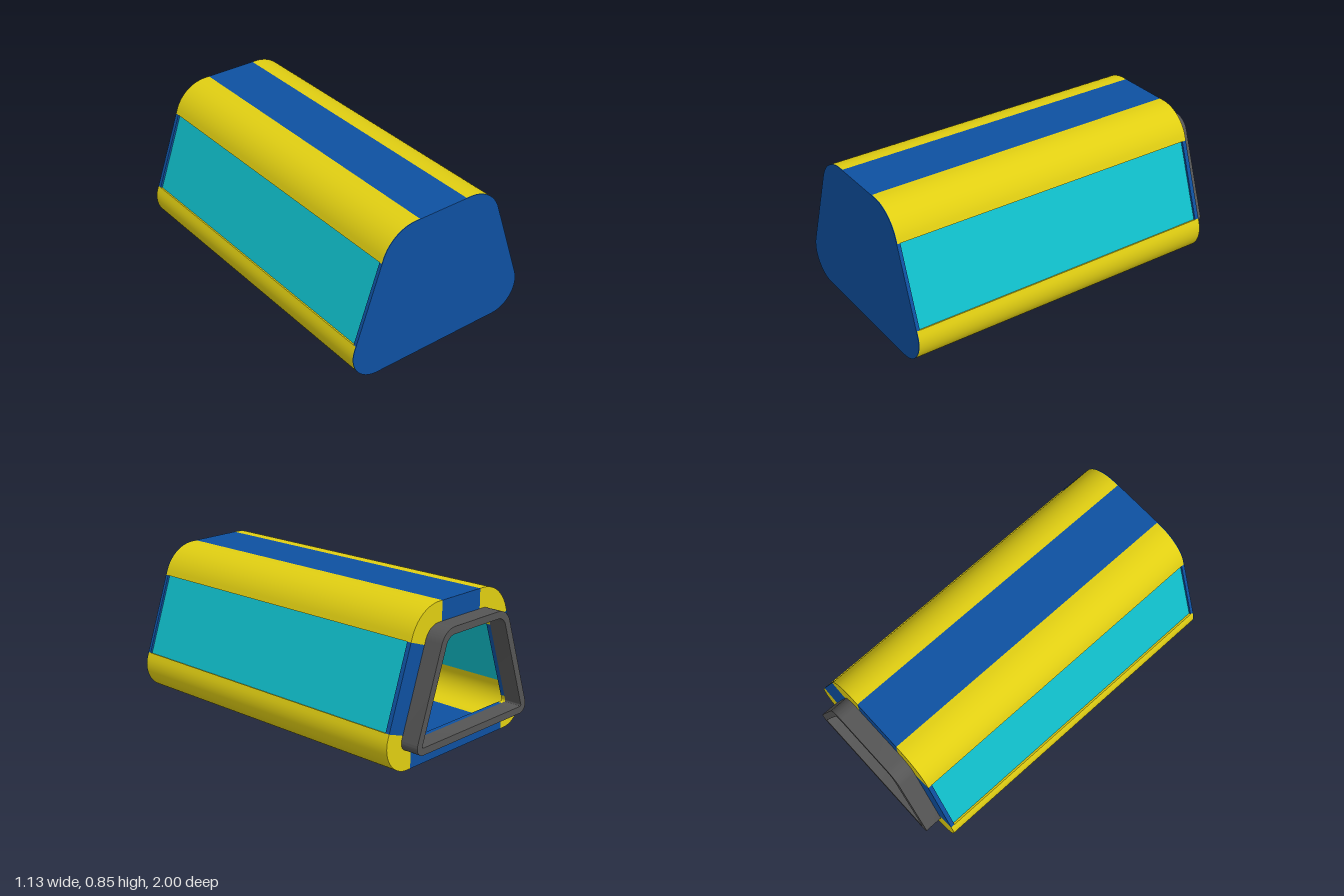
import * as THREE from 'three';
import { toCreasedNormals } from 'three/addons/utils/BufferGeometryUtils.js';

const mat = (name, color) => {
  const m = new THREE.MeshStandardMaterial({ color });
  m.name = name;
  return m;
};

export function createModel() {
  const root = new THREE.Group();
  root.name = 'roundedTrapezoidHousing';
  const blue = mat('blue', 0x0e50a0);
  const yellow = mat('yellow', 0xe0ce12);
  const cyan = mat('cyan', 0x10c0cc);
  const grey = mat('dark grey', 0x555555);

  // Cross-section: two rounded corners on the +x side, mirrored to -x
  const slope = Math.atan2(0.331, 0.944);
  const low = { x: 0.407, y: 0.158, r: 0.158, a0: -Math.PI / 2, a1: slope };
  const high = { x: 0.18, y: 0.628, r: 0.217, a0: slope, a1: Math.PI / 2 };
  const FRONT = 1, BACK = -0.895, WALL = 0.04, HOLE = 0.15, LAP = 0.025, CAP = 0.004;

  const arc = (c, off, n = 20) => Array.from({ length: n + 1 }, (_, i) => {
    const a = c.a0 + (c.a1 - c.a0) * i / n, r = c.r - off;
    return new THREE.Vector2(c.x + r * Math.cos(a), c.y + r * Math.sin(a));
  });
  const flip = (pts) => pts.map((p) => new THREE.Vector2(-p.x, p.y)).reverse();

  // Closed outline of the section, inset by off
  const outline = (off) => {
    const half = [...arc(low, off), ...arc(high, off)];
    return [...half, ...flip(half)];
  };

  // Corner band between two insets, with short straight laps past the arc
  const cornerBand = (c, a, b) => {
    const side = (off) => {
      const pts = arc(c, off);
      const move = (p, ang, d) =>
        new THREE.Vector2(p.x - Math.sin(ang) * d, p.y + Math.cos(ang) * d);
      return [move(pts[0], c.a0, -LAP), ...pts, move(pts[pts.length - 1], c.a1, LAP)];
    };
    return [...side(a), ...side(b).reverse()];
  };

  // Straight band on the sloping side between the two corner bands
  const slopeBand = (a, b) => {
    const at = (c, off, d) => new THREE.Vector2(
      c.x + (c.r - off) * Math.cos(slope) - Math.sin(slope) * d,
      c.y + (c.r - off) * Math.sin(slope) + Math.cos(slope) * d);
    return [at(low, a, LAP), at(high, a, -LAP), at(high, b, -LAP), at(low, b, LAP)];
  };

  const flatBand = (w, y0, y1) =>
    [[-w, y0], [w, y0], [w, y1], [-w, y1]].map(([x, y]) => new THREE.Vector2(x, y));

  const add = (name, pts, z0, z1, material, hole) => {
    const shape = new THREE.Shape(pts);
    if (hole) shape.holes.push(new THREE.Path(hole));
    const geo = new THREE.ExtrudeGeometry(shape, { depth: z1 - z0, bevelEnabled: false, steps: 1 });
    geo.translate(0, 0, z0);
    const mesh = new THREE.Mesh(toCreasedNormals(geo, 0.5), material);
    mesh.name = name;
    root.add(mesh);
  };
  const pair = (name, pts, z0, z1, material) => {
    add(name + 'Left', pts, z0, z1, material);
    add(name + 'Right', flip(pts), z0, z1, material);
  };

  // Rounded rails along the four edges
  pair('lowerRail', cornerBand(low, 0, WALL), BACK, FRONT - CAP, yellow);
  pair('upperRail', cornerBand(high, 0, WALL), BACK, FRONT - CAP, yellow);

  // Roof and floor
  const top = high.y + high.r;
  const roofW = high.x - LAP, floorW = low.x - LAP;
  add('roof', flatBand(roofW, top - WALL, top), BACK, FRONT - CAP, blue);
  add('floor', flatBand(floorW, 0, WALL), BACK, FRONT - CAP, blue);

  // Recessed side panels and the posts at their ends
  pair('sidePanel', slopeBand(0.012, WALL), BACK + 0.025, FRONT - 0.02, cyan);
  pair('frontPost', slopeBand(0, WALL), FRONT - 0.02, FRONT - CAP, blue);
  pair('backPost', slopeBand(0, WALL), BACK, BACK + 0.025, blue);

  // Closed front
  add('frontCap', outline(0), FRONT - CAP, FRONT, blue);

  // Flange round the back opening
  const inner = BACK + 0.025;
  pair('lowerFlangeCorner', cornerBand(low, WALL, HOLE), BACK, inner, yellow);
  pair('upperFlangeCorner', cornerBand(high, WALL, HOLE), BACK, inner, yellow);
  pair('sideFlange', slopeBand(WALL, HOLE), BACK, inner, blue);
  add('topFlange', flatBand(roofW, top - HOLE, top - WALL), BACK, inner, blue);
  add('bottomFlange', flatBand(floorW, WALL, HOLE), BACK, inner, blue);

  // Collar standing out of the back
  add('backCollar', outline(0.11), -1, BACK, grey, outline(HOLE));

  return root;
}
